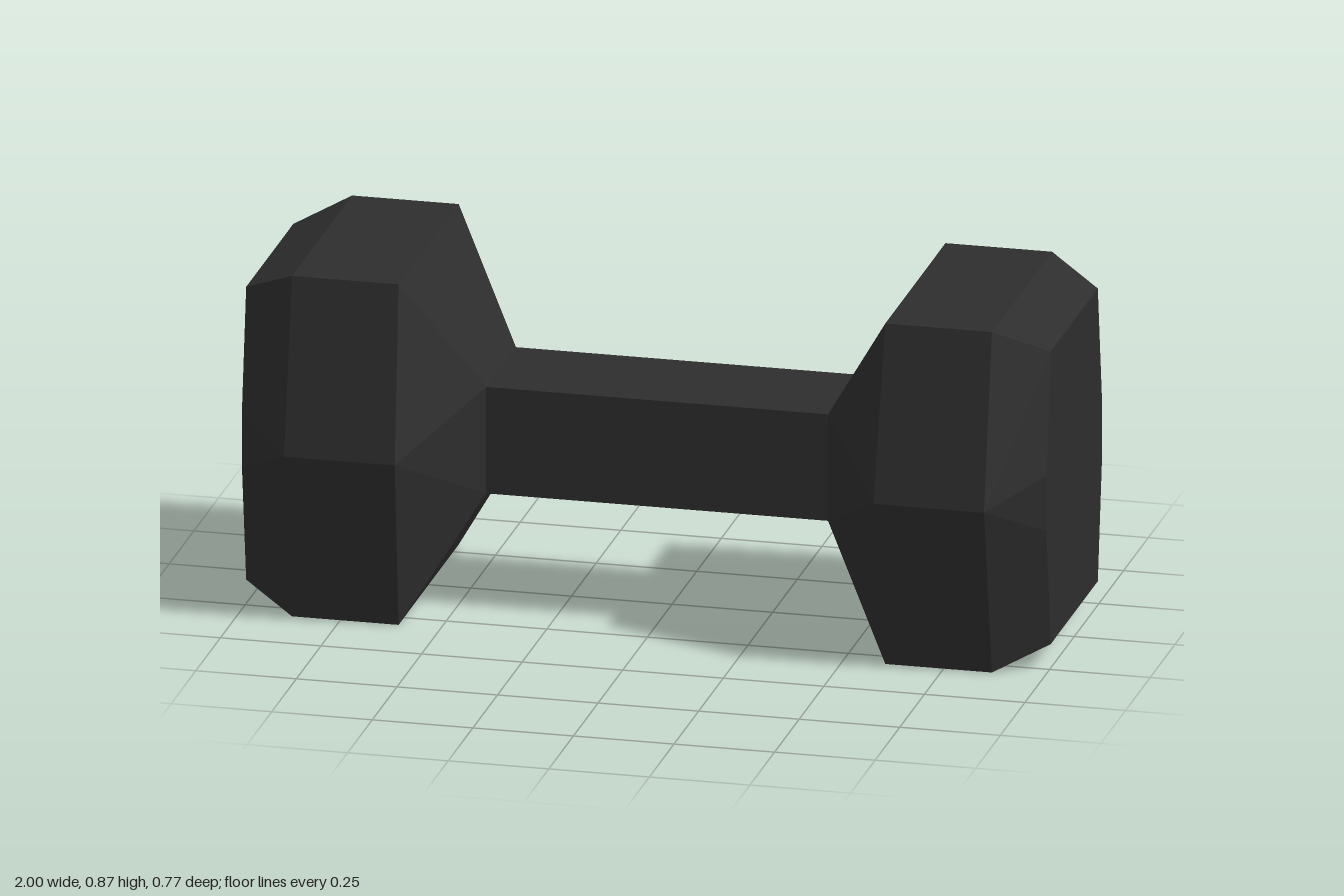
import * as THREE from 'three';

const CENTRE_Y = 0.435;

// Eight-point section: four corners plus a pair of points on the front and back
function section(x, cornerY, cornerZ, midY, midZ) {
  return [
    [cornerY, cornerZ], [midY, midZ], [-midY, midZ], [-cornerY, cornerZ],
    [-cornerY, -cornerZ], [-midY, -midZ], [midY, -midZ], [cornerY, -cornerZ],
  ].map(([y, z]) => new THREE.Vector3(x, y, z));
}

// Skin the sections in order along +x and close the last one
function loft(sections) {
  const positions = [];
  const tri = (a, b, c) => {
    const area = new THREE.Triangle(a, b, c).getArea();
    if (area > 1e-7) positions.push(...a, ...b, ...c);
  };
  for (let s = 0; s < sections.length - 1; s++) {
    const a = sections[s], b = sections[s + 1];
    for (let i = 0; i < 8; i++) {
      const j = (i + 1) % 8;
      tri(a[i], a[j], b[i]);
      tri(a[j], b[j], b[i]);
    }
  }
  const end = sections[sections.length - 1];
  for (let i = 1; i < 7; i++) tri(end[0], end[i], end[i + 1]);

  const geometry = new THREE.BufferGeometry();
  geometry.setAttribute('position', new THREE.Float32BufferAttribute(positions, 3));
  geometry.computeVertexNormals();
  return geometry;
}

export function createModel() {
  const model = new THREE.Group();
  model.name = 'dumbbell';

  const blackRubber = new THREE.MeshStandardMaterial({ color: 0x2d2d2d, flatShading: true });
  blackRubber.name = 'blackRubber';

  // Square grip bar
  const handle = new THREE.Mesh(new THREE.BoxGeometry(0.85, 0.272, 0.302), blackRubber);
  handle.name = 'handle';
  handle.position.y = CENTRE_Y;
  model.add(handle);

  // Hexagonal weight: flares out from the bar, runs straight, then bevels to the end face
  const inner = section(0.605, 0.435, 0.305, 0, 0.385);
  inner[1].x = inner[2].x = inner[5].x = inner[6].x = 0.595;
  const headGeometry = loft([
    section(0.425, 0.136, 0.151, 0.136, 0.151),
    inner,
    section(0.87, 0.435, 0.305, 0, 0.385),
    section(1.0, 0.374, 0.239, 0.07, 0.282),
  ]);
  for (const [name, turn] of [['leftWeight', 0], ['rightWeight', Math.PI]]) {
    const head = new THREE.Mesh(headGeometry, blackRubber);
    head.name = name;
    head.position.y = CENTRE_Y;
    head.rotation.y = turn;
    model.add(head);
  }

  return model;
}
